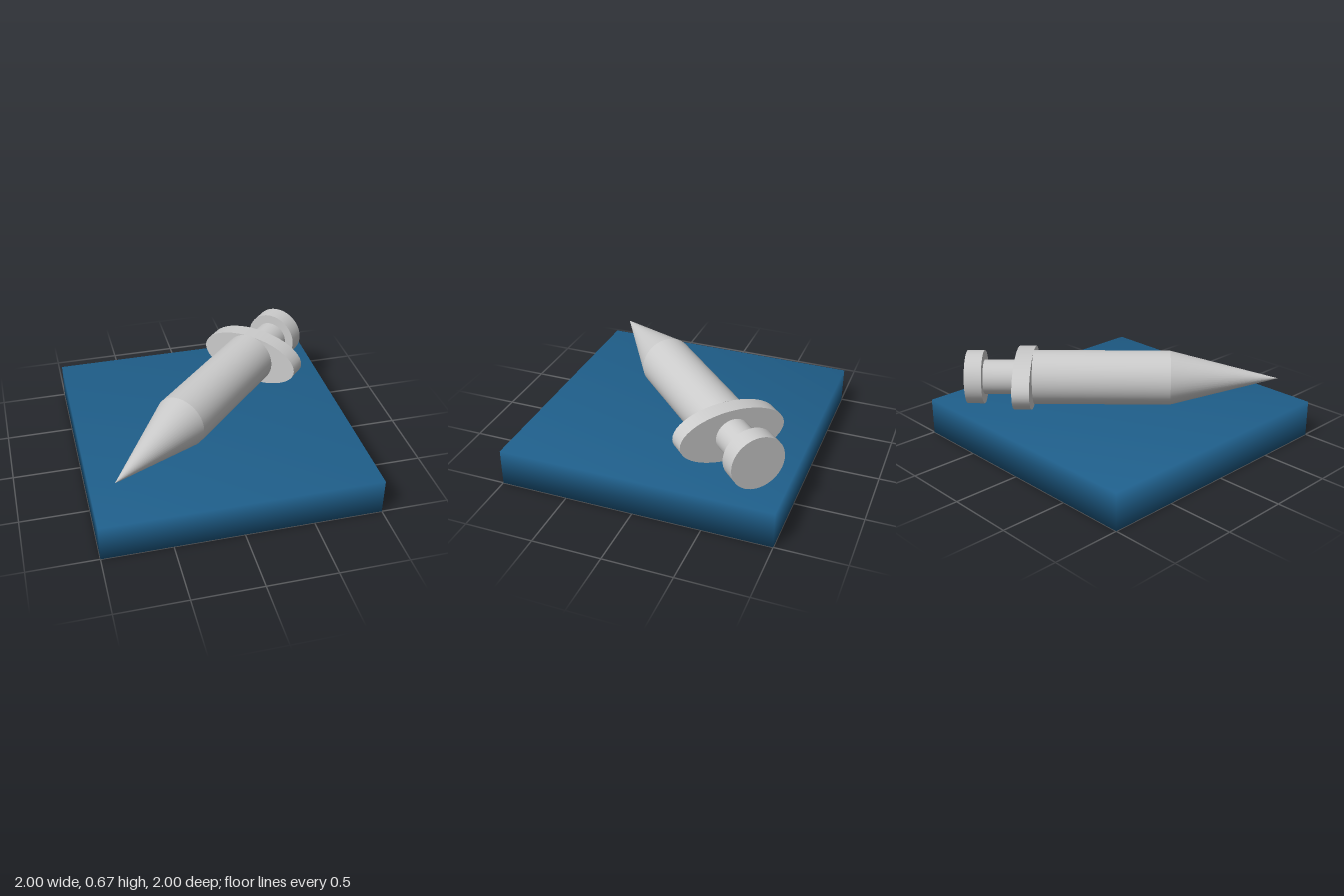
import * as THREE from 'three';
import { mergeVertices } from 'three/addons/utils/BufferGeometryUtils.js';

const grey = new THREE.MeshStandardMaterial({ color: 0xcccccc });
const blue = new THREE.MeshStandardMaterial({ color: 0x1f5f8b });

// Round part lying between two stations on the syringe axis
function roundPart(name, from, to, startRadius, endRadius = startRadius, widthScale = 1) {
  const geometry = new THREE.CylinderGeometry(endRadius, startRadius, to - from, 48);
  const mesh = new THREE.Mesh(geometry, grey);
  mesh.name = name;
  mesh.position.y = (from + to) / 2;
  mesh.scale.z = widthScale;
  return mesh;
}

export function createModel() {
  const model = new THREE.Group();
  model.name = 'syringeOnBase';

  // Square base with shared, smooth corner normals
  let slab = new THREE.BoxGeometry(2, 0.27, 2);
  slab.deleteAttribute('normal');
  slab.deleteAttribute('uv');
  slab = mergeVertices(slab);
  slab.computeVertexNormals();
  const base = new THREE.Mesh(slab, blue);
  base.name = 'base';
  base.position.y = 0.135;
  model.add(base);

  // Syringe lying diagonally: local y runs from needle tip to thumb rest
  const syringe = new THREE.Group();
  syringe.name = 'syringe';
  syringe.rotation.set(0, Math.PI / 4, -Math.PI / 2);
  syringe.position.set(-0.018, 0.47, -0.018);

  // Pointed needle cone
  const needle = new THREE.Mesh(new THREE.ConeGeometry(0.2, 0.797, 48), grey);
  needle.name = 'needle';
  needle.rotation.x = Math.PI;
  needle.position.y = -0.7715;

  syringe.add(
    needle,
    roundPart('barrel', -0.373, 0.632, 0.2),
    roundPart('fingerFlange', 0.63, 0.755, 0.198, 0.198, 2), // oval
    roundPart('plungerRod', 0.75, 1.0, 0.128),
    roundPart('thumbRest', 0.997, 1.122, 0.198)
  );
  model.add(syringe);
  return model;
}
